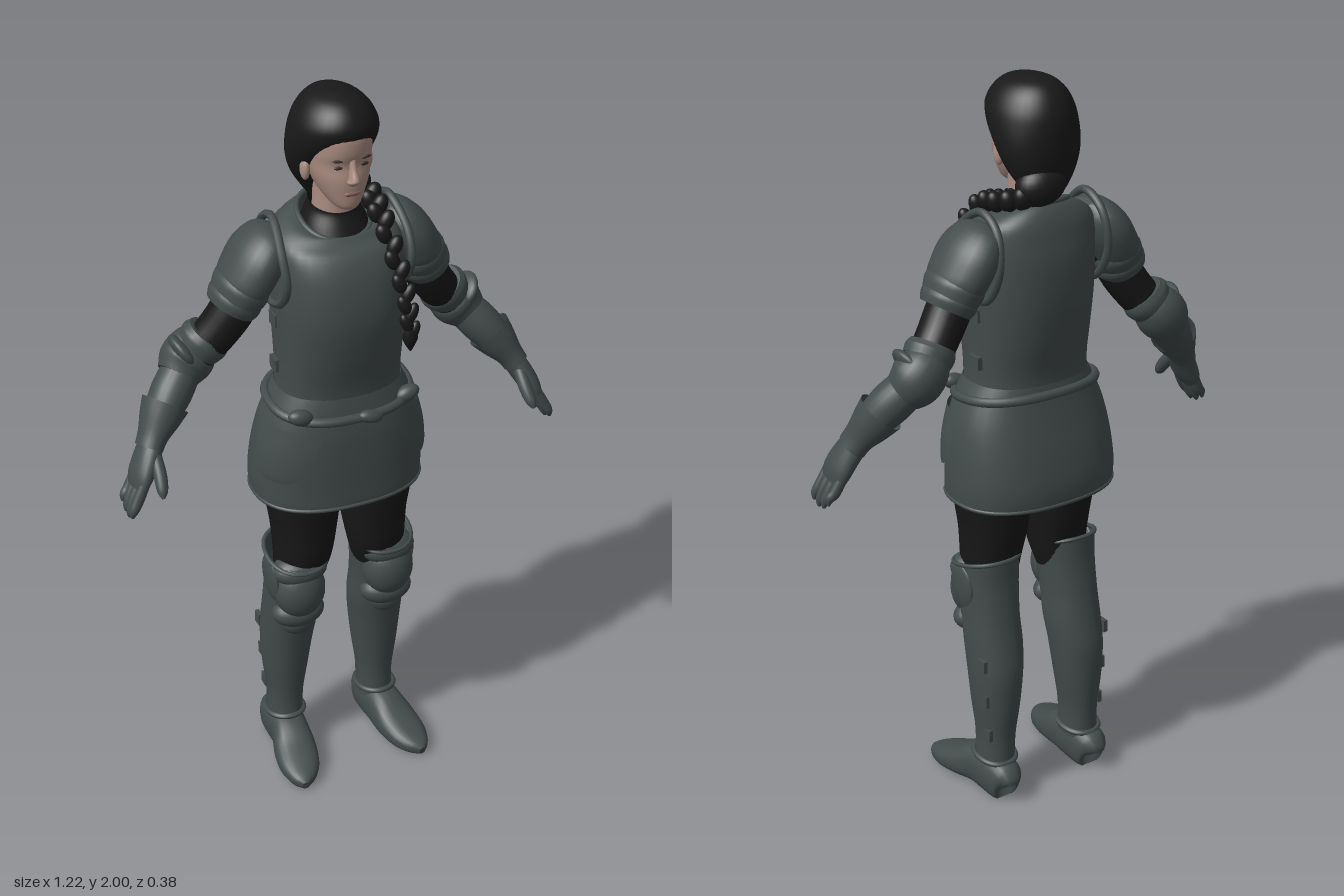
import * as THREE from 'three';

const paint = (name, color) => new THREE.MeshStandardMaterial({ name, color, side: THREE.DoubleSide });
const V = (x, y, z) => new THREE.Vector3(x, y, z);

// Catmull-Rom refinement of a list of number rows
function refine(rows, n = 4) {
  const out = [], at = i => rows[Math.min(Math.max(i, 0), rows.length - 1)];
  for (let i = 0; i < rows.length - 1; i++) {
    for (let j = 0; j < n; j++) {
      const t = j / n;
      out.push(rows[0].map((_, k) => {
        const [a, b, c, d] = [at(i - 1)[k], at(i)[k], at(i + 1)[k], at(i + 2)[k]];
        return b + 0.5 * t * (c - a + t * (2 * a - 5 * b + 4 * c - d + t * (3 * (b - c) + d - a)));
      }));
    }
  }
  return [...out, rows[rows.length - 1]];
}

// Surface through rings of points; closed rings get end caps when asked
function skin(rings, { open = false, caps = true } = {}) {
  const n = rings[0].length, pos = [], idx = [];
  rings.forEach(r => r.forEach(p => pos.push(p.x, p.y, p.z)));
  for (let i = 0; i < rings.length - 1; i++) {
    for (let j = 0; j < (open ? n - 1 : n); j++) {
      const a = i * n + j, b = i * n + (j + 1) % n;
      idx.push(a, a + n, b, b, a + n, b + n);
    }
  }
  if (!open && caps) [rings[0], rings[rings.length - 1]].forEach((r, end) => {
    const base = pos.length / 3, c = r.reduce((s, p) => s.add(p), V(0, 0, 0)).divideScalar(n);
    [...r, c].forEach(p => pos.push(p.x, p.y, p.z));
    for (let j = 0; j < n; j++) {
      const a = base + j, b = base + (j + 1) % n;
      idx.push(base + n, end ? b : a, end ? a : b);
    }
  });
  const g = new THREE.BufferGeometry();
  g.setAttribute('position', new THREE.Float32BufferAttribute(pos, 3));
  g.setIndex(idx);
  g.computeVertexNormals();
  return g;
}

const bend = (v, p) => Math.sign(v) * Math.abs(v) ** (2 / p);
// Point on a level section [y, x0, x1, zBack, zFront, tilt]
function onSection([y, x0, x1, zb, zf, tilt = 0], a, p = 2.2) {
  const dz = (zf - zb) / 2 * bend(Math.sin(a), p);
  return V((x0 + x1) / 2 + (x1 - x0) / 2 * bend(Math.cos(a), p), y + tilt * dz, (zb + zf) / 2 + dz);
}
const angles = (n, a0 = 0, a1 = Math.PI * 2) => Array.from({ length: n }, (_, i) => a0 + (a1 - a0) * i / n);
const loft = (rows, p = 2.2, opts) => skin(refine(rows).map(s => angles(36).map(a => onSection(s, a, p))), opts);
const sym = rows => rows.map(([y, w, zb, zf, tilt = 0]) => [y, -w, w, zb, zf, tilt]);

// Limb along a path of [x, y, z, radiusAcross, radiusAlongRef]
function limb(rows, ref = V(0, 0, 1), p = 2, opts) {
  const s = refine(rows), c = s.map(r => V(r[0], r[1], r[2]));
  return skin(s.map((r, i) => {
    const t = c[Math.min(i + 1, c.length - 1)].clone().sub(c[Math.max(i - 1, 0)]).normalize();
    const v = ref.clone().addScaledVector(t, -ref.dot(t)).normalize(), u = t.clone().cross(v);
    return angles(24).map(a => c[i].clone().addScaledVector(u, r[3] * bend(Math.cos(a), p))
      .addScaledVector(v, r[4] * bend(Math.sin(a), p)));
  }), opts);
}
function blob(x, y, z, rx, ry, rz, turn = 0) {
  return new THREE.SphereGeometry(1, 24, 16).scale(rx, ry, rz).rotateZ(turn).translate(x, y, z);
}
const tube = (pts, r, closed = false) =>
  new THREE.TubeGeometry(new THREE.CatmullRomCurve3(pts, closed), 64, r, 8, closed);

export function createModel() {
  const model = new THREE.Group();
  const steel = paint('dark steel', 0x434b4b), cloth = paint('black cloth', 0x171717);
  const hair = paint('black hair', 0x191919), flesh = paint('skin', 0xa98c80);
  const lipTint = paint('lips', 0x8a6259), eyeTint = paint('eyes', 0x3a2e2a);
  const add = (name, geo, mat) => {
    const m = new THREE.Mesh(geo, mat);
    m.name = name;
    model.add(m);
  };
  // Adds a part on the left and its mirror image on the right
  const pair = (name, geo, mat) => {
    add(name + 'Left', geo, mat);
    const g = geo.clone().scale(-1, 1, 1), ix = g.index.array;
    for (let i = 0; i < ix.length; i += 3) [ix[i], ix[i + 1]] = [ix[i + 1], ix[i]];
    g.computeVertexNormals();
    add(name + 'Right', g, mat);
  };

  // Head and face
  add('head', loft(sym([[1.712, .018, .02, .07], [1.725, .036, -.02, .087], [1.76, .058, -.07, .092], [1.8, .073, -.09, .094],
    [1.835, .079, -.1, .089], [1.87, .08, -.1, .098], [1.92, .077, -.1, .094], [1.96, .055, -.08, .055]])), flesh);
  add('neck', loft(sym([[1.64, .06, -.085, .035], [1.69, .053, -.08, .035], [1.77, .052, -.075, .035]])), flesh);
  add('nose', loft(sym([[1.785, .008, .075, .097], [1.796, .017, .075, .112], [1.806, .013, .075, .117],
    [1.83, .009, .075, .104], [1.855, .009, .075, .094]])), flesh);
  add('mouth', blob(0, 1.763, .089, .022, .007, .006), lipTint);
  pair('eye', blob(.032, 1.834, .081, .014, .005, .005), eyeTint);
  pair('brow', blob(.033, 1.853, .085, .019, .004, .005, .08), eyeTint);
  pair('ear', blob(.084, 1.805, -.008, .012, .03, .018), flesh);

  // Hair cap, knot at the nape and braid over the left shoulder
  add('hairCap', loft(sym([[1.7, .045, -.12, -.05], [1.735, .07, -.135, -.03], [1.77, .092, -.143, -.005], [1.81, .107, -.15, .025],
    [1.85, .113, -.153, .058], [1.89, .112, -.152, .09], [1.925, .105, -.145, .102], [1.96, .086, -.127, .086],
    [1.985, .058, -.1, .055], [1.998, .022, -.06, .01]]), 2), hair);
  add('hairKnot', blob(.025, 1.74, -.105, .07, .055, .052, -.2), hair);
  const path = new THREE.CatmullRomCurve3([V(.02, 1.73, -.13), V(.075, 1.71, -.1), V(.1, 1.69, -.03), V(.095, 1.665, .05),
    V(.1, 1.58, .128), V(.115, 1.48, .163), V(.125, 1.39, .168)]);
  const strands = 22;
  for (let i = 0; i < strands; i++) {
    const t = i / (strands - 1), c = path.getPoint(t), side = i % 2 ? 1 : -1, w = .029 - .011 * t;
    add('braidStrand', blob(c.x + side * w * .4, c.y, c.z, w * .85, .03, w * .8, side * -.45), hair);
  }
  add('braidTip', limb([[.125, 1.4, .168, .016, .014], [.125, 1.37, .168, .02, .015], [.127, 1.335, .166, .003, .003]]), hair);

  // Collar and breastplate
  add('collar', loft(sym([[1.6, .1, -.12, .085], [1.65, .085, -.11, .06], [1.69, .066, -.095, .045, -.15],
    [1.705, .064, -.092, .042, -.2]]), 2.1, { caps: false }), cloth);
  add('breastplate', loft(sym([[1.17, .168, -.13, .122], [1.24, .164, -.13, .128], [1.33, .165, -.148, .147], [1.44, .17, -.163, .162],
    [1.54, .17, -.165, .148], [1.6, .168, -.156, .118], [1.635, .155, -.145, .085, -.1], [1.658, .12, -.13, .07, -.2],
    [1.662, .088, -.115, .066, -.35]]), 2.4, { caps: false }), steel);
  add('neckRim', tube(angles(24).map(a => onSection([1.662, -.09, .09, -.118, .068, -.35], a)), .007, true), steel);
  pair('armholeRim', tube([V(.16, 1.675, -.04), V(.172, 1.61, .05), V(.17, 1.53, .075), V(.168, 1.46, .02),
    V(.168, 1.45, -.07), V(.167, 1.54, -.13), V(.16, 1.64, -.11)], .011, true), steel);
  [1.27, 1.4].forEach(y => pair('sideBuckle', new THREE.BoxGeometry(.014, .035, .04).translate(.166, y, -.02), steel));

  // Skirt, belt and hanging flaps
  add('skirt', loft(sym([[.885, .229, -.183, .143], [.897, .233, -.188, .147], [.95, .234, -.188, .146], [1.03, .228, -.173, .145],
    [1.1, .216, -.155, .142], [1.16, .194, -.14, .134], [1.21, .168, -.13, .124]]), 2.4, { caps: false }), steel);
  add('hem', tube(angles(32).map(a => onSection([.89, -.23, .23, -.185, .145], a, 2.4)), .006, true), steel);
  add('belt', tube(angles(32).map(a => onSection([1.168, -.19, .19, -.14, .138, -.12], a, 2.4)), .013, true), steel);
  add('beltKnot', blob(.03, 1.15, .142, .035, .018, .018, -.25), steel);
  pair('beltPouch', blob(.15, 1.17, .105, .035, .022, .022, .3), steel);
  pair('skirtFlap', skin(refine([[1.13, -.213, .213, -.155, .15, 0, .1, 1.25], [1.06, -.232, .232, -.17, .156, 0, .02, 1.15],
    [1.0, -.24, .24, -.18, .156, 0, .08, 1], [.975, -.239, .239, -.182, .154, 0, .35, .7]]).map(s =>
    [...angles(16, s[6], s[7])].map(a => onSection(s, a, 2.4))), { open: true }), steel);

  // Hips and thighs
  add('hips', loft(sym([[.9, .17, -.12, .1], [.94, .205, -.14, .115], [1.02, .2, -.14, .115]])), cloth);
  pair('thigh', loft([[.58, .06, .18, -.07, .05], [.68, .032, .185, -.075, .088], [.78, .015, .19, -.095, .1],
    [.88, .004, .205, -.108, .11], [.96, .001, .208, -.11, .11]]), cloth);

  // Greaves, knees and boots
  pair('greave', loft([[.09, .092, .19, -.118, .004], [.18, .09, .188, -.12, .003], [.28, .076, .199, -.13, .015],
    [.38, .064, .205, -.133, .03], [.46, .055, .206, -.12, .045], [.54, .055, .204, -.105, .06],
    [.63, .048, .205, -.092, .075, -.1], [.69, .042, .208, -.09, .092, -.25]], 2.2, { caps: false }), steel);
  pair('thighRim', tube(angles(24).map(a => onSection([.69, .042, .208, -.09, .092, -.25], a)), .006, true), steel);
  pair('kneeCap', blob(.132, .59, .04, .072, .088, .066), steel);
  pair('kneeUpperPlate', blob(.13, .655, .04, .078, .045, .056), steel);
  pair('kneeLowerPlate', blob(.132, .51, .03, .075, .045, .052), steel);
  pair('kneePoint', blob(.133, .475, .026, .048, .045, .036), steel);
  pair('kneeWing', blob(.2, .62, .005, .014, .07, .05, -.08), steel);
  pair('ankleBand', tube(angles(24).map(a => onSection([.115, .09, .193, -.12, .006, .1], a)), .008, true), steel);
  [.2, .31, .42].forEach((y, i) => pair('greaveBuckle',
    new THREE.BoxGeometry(.012, .035, .028).translate(.184 + i * .008, y, -.09), steel));
  const boot = limb([[.145, .045, -.132, .02, .03], [.145, .05, -.122, .045, .058], [.145, .058, -.06, .052, .064],
    [.148, .058, 0, .053, .06], [.158, .042, .06, .06, .044], [.169, .03, .12, .055, .032],
    [.178, .022, .165, .034, .022], [.181, .018, .187, .01, .012]], V(0, 1, 0), 2.5);
  const bp = boot.attributes.position;
  for (let i = 0; i < bp.count; i++) bp.setY(i, Math.max(0, bp.getY(i)));
  boot.computeVertexNormals();
  pair('boot', boot, steel);

  // Shoulder plates
  pair('shoulderPlate', limb([[.15, 1.645, -.045, .012, .03], [.168, 1.625, -.045, .045, .08], [.2, 1.58, -.045, .064, .103],
    [.233, 1.525, -.045, .066, .1], [.247, 1.5, -.045, .064, .09]]), steel);
  pair('shoulderBandUpper', limb([[.235, 1.52, -.045, .064, .088], [.245, 1.5, -.045, .071, .093], [.26, 1.473, -.046, .066, .084]]), steel);
  pair('shoulderBandLower', limb([[.25, 1.49, -.046, .062, .078], [.262, 1.468, -.046, .07, .083], [.275, 1.446, -.047, .064, .072]]), steel);

  // Sleeve, elbow and forearm
  pair('sleeve', limb([[.2, 1.56, -.045, .055, .06], [.26, 1.45, -.047, .058, .06], [.31, 1.375, -.06, .055, .058],
    [.375, 1.3, -.08, .052, .054], [.43, 1.24, -.055, .045, .045]]), cloth);
  pair('elbowBand', limb([[.325, 1.37, -.068, .058, .06], [.337, 1.353, -.072, .068, .065], [.355, 1.333, -.078, .062, .062]]), steel);
  pair('elbowCap', limb([[.345, 1.345, -.078, .055, .055], [.365, 1.322, -.085, .068, .068], [.39, 1.292, -.083, .07, .068],
    [.415, 1.266, -.07, .055, .055]]), steel);
  pair('elbowWing', blob(.398, 1.335, -.07, .02, .05, .055, -.6), steel);
  pair('forearm', limb([[.395, 1.285, -.078, .05, .052], [.44, 1.235, -.05, .054, .056], [.48, 1.187, -.026, .045, .05],
    [.51, 1.145, -.01, .034, .042]]), steel);
  pair('gauntletCuff', limb([[.462, 1.212, -.038, .062, .064], [.485, 1.18, -.024, .052, .056], [.51, 1.145, -.008, .038, .046],
    [.525, 1.12, .002, .035, .045]], V(0, 0, 1), 2, { caps: false }), steel);

  // Gloved hand
  pair('palm', limb([[.505, 1.15, -.01, .03, .038], [.535, 1.1, .01, .03, .048], [.557, 1.06, .022, .027, .052],
    [.57, 1.03, .028, .018, .048]]), steel);
  [-.036, -.012, .012, .036].forEach((d, i) => {
    const drop = [.02, .004, 0, .01][i];
    pair('finger', limb([[.562, 1.05, .025 + d, .014, .013], [.583, 1.01, .03 + d, .015, .0135],
      [.597, .975 + drop, .034 + d, .012, .012], [.602, .957 + drop, .034 + d, .004, .004]]), steel);
  });
  pair('thumb', limb([[.52, 1.115, .03, .018, .016], [.522, 1.075, .07, .018, .017], [.527, 1.045, .097, .014, .014],
    [.53, 1.03, .11, .004, .004]], V(1, 0, 0)), steel);

  return model;
}
